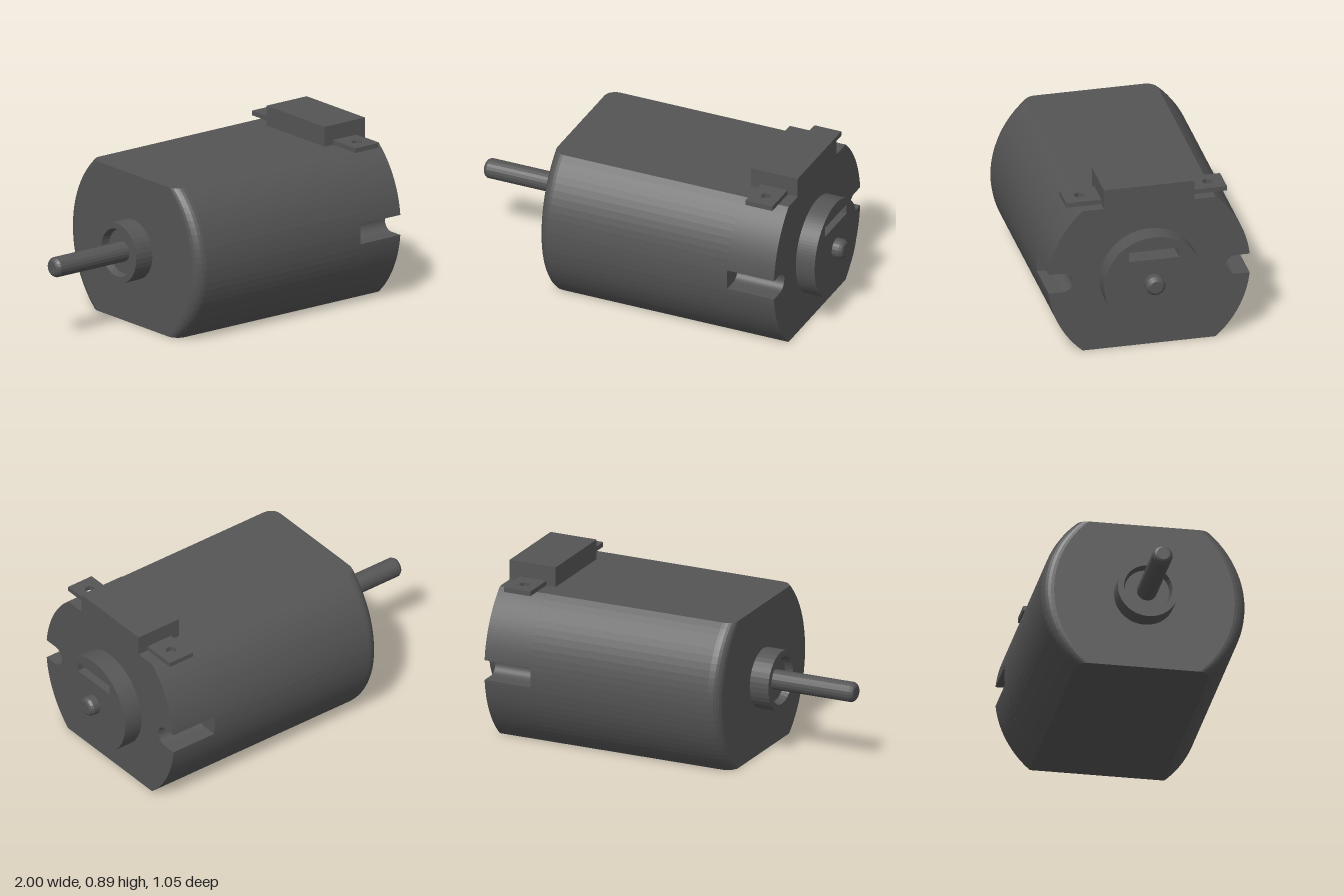
import * as THREE from 'three';

const R = 0.525, H = 0.395;          // can radius and half height between flats
const A = Math.asin(H / R), W = R * Math.cos(A);
const PI = Math.PI;

export function createModel() {
  const group = new THREE.Group();
  const darkGrey = new THREE.MeshStandardMaterial({ color: 0x555555 });
  const motor = new THREE.Group();   // shaft axis runs along x
  motor.name = 'motor';
  motor.position.y = H;
  group.add(motor);

  const add = (name, geometry) => {
    const g = geometry.index ? geometry.toNonIndexed() : geometry;
    g.computeVertexNormals();        // faceted surfaces
    const mesh = new THREE.Mesh(g, darkGrey);
    mesh.name = name;
    motor.add(mesh);
    return mesh;
  };
  // extrude a (z, y) outline along x
  const extrudeX = (shape, x0, x1, seg = 16) =>
    new THREE.ExtrudeGeometry(shape, { depth: x1 - x0, bevelEnabled: false, curveSegments: seg })
      .rotateY(PI / 2).translate(x0, 0, 0);
  // revolve [x, radius] points around x
  const latheX = (points, seg) =>
    new THREE.LatheGeometry(points.map(([x, r]) => new THREE.Vector2(r, x)), seg).rotateZ(-PI / 2);

  // can: flat-sided loops, with a rounded edge at the shaft end
  const N = 24, fillet = 0.06, steps = 6, loops = [];
  for (let i = 0; i <= steps; i++) {
    const t = (i / steps) * PI / 2;
    loops.push([-0.475 + fillet * (1 - Math.sin(t)), fillet * (1 - Math.cos(t))]);
  }
  loops.reverse();
  loops.sort((a, b) => a[0] - b[0]);
  loops.push([0.58, 0]);
  // the inset shrinks towards the full outline along the can
  for (let i = 0; i <= steps; i++) {
    const t = (i / steps) * PI / 2;
    loops[i] = [-0.475 + fillet * (1 - Math.cos(t)), fillet * (1 - Math.sin(t))];
  }
  const count = 2 * (N + 1), pos = [], idx = [];
  for (const [x, inset] of loops) {
    for (const side of [1, -1]) {
      for (let j = 0; j <= N; j++) {
        const a = -A + (2 * A * j) / N;
        pos.push(x, side * R * Math.sin(a), side * (R * Math.cos(a) - inset));
      }
    }
  }
  for (let i = 0; i < loops.length - 1; i++) {
    for (let j = 0; j < count; j++) {
      const a = i * count + j, b = i * count + (j + 1) % count;
      idx.push(a, a + count, b, b, a + count, b + count);
    }
  }
  const last = (loops.length - 1) * count;
  for (let j = 1; j < count - 1; j++) {
    idx.push(0, j, j + 1, last, last + j + 1, last + j);
  }
  const can = new THREE.BufferGeometry();
  can.setAttribute('position', new THREE.Float32BufferAttribute(pos, 3));
  can.setIndex(idx);
  add('can', can);

  // end cap with a round-bottomed notch on each side
  const n = 0.053, c = 0.45, B = Math.asin(n / R);
  const cap = new THREE.Shape();
  cap.moveTo(-W, -H);
  cap.lineTo(W, -H);
  cap.absarc(0, 0, R, -A, -B, false);
  cap.absarc(c, 0, n, -PI / 2, PI / 2, true);
  cap.absarc(0, 0, R, B, A, false);
  cap.lineTo(-W, H);
  cap.absarc(0, 0, R, PI - A, PI - B, false);
  cap.absarc(-c, 0, n, PI / 2, -PI / 2, true);
  cap.absarc(0, 0, R, PI + B, PI + A, false);
  add('endCap', extrudeX(cap, 0.58, 0.84, 12));

  // rear boss: flat underside and a rectangular slot
  const r = 0.258, f = Math.asin(0.21 / r);
  const boss = new THREE.Shape();
  boss.absarc(0, 0, r, -f, PI + f, false);
  boss.closePath();
  const slot = new THREE.Path();
  slot.moveTo(-0.131, 0.132);
  slot.lineTo(-0.131, 0.185);
  slot.lineTo(0.131, 0.185);
  slot.lineTo(0.131, 0.132);
  slot.closePath();
  boss.holes.push(slot);
  add('rearBoss', extrudeX(boss, 0.84, 0.945, 40));

  // front bearing housing with a shallow recess
  add('frontBearing', latheX([[-0.54, 0], [-0.54, 0.115], [-0.58, 0.125],
    [-0.58, 0.157], [-0.47, 0.157]].map(([x, q]) => [x, q]), 36));

  // shaft with rounded tips
  add('shaft', latheX([[-1, 0], [-1, 0.033], [-0.994, 0.043], [-0.98, 0.052],
    [0.98, 0.052], [0.994, 0.043], [1, 0.033], [1, 0]], 20));

  // terminal block
  add('terminalBlock', new THREE.BoxGeometry(0.26, 0.105, 0.47)).position.set(0.71, H + 0.0525, 0);

  // terminal tabs with hexagonal holes
  for (const s of [1, -1]) {
    const tab = new THREE.Shape();
    tab.moveTo(-0.075, 0.23);
    tab.lineTo(0.075, 0.23);
    tab.lineTo(0.075, 0.418);
    tab.lineTo(-0.075, 0.418);
    tab.closePath();
    const hole = new THREE.Path();
    for (let i = 0; i < 6; i++) {
      const a = (i * PI) / 3;
      hole[i ? 'lineTo' : 'moveTo'](0.029 * Math.cos(a), 0.333 + 0.029 * Math.sin(a));
    }
    hole.closePath();
    tab.holes.push(hole);
    const g = new THREE.ExtrudeGeometry(tab, { depth: 0.025, bevelEnabled: false });
    const mesh = add(s > 0 ? 'frontTab' : 'backTab', g.rotateX(-PI / 2).rotateY(s > 0 ? PI : 0));
    mesh.position.set(0.708, H, 0);
  }
  return group;
}
